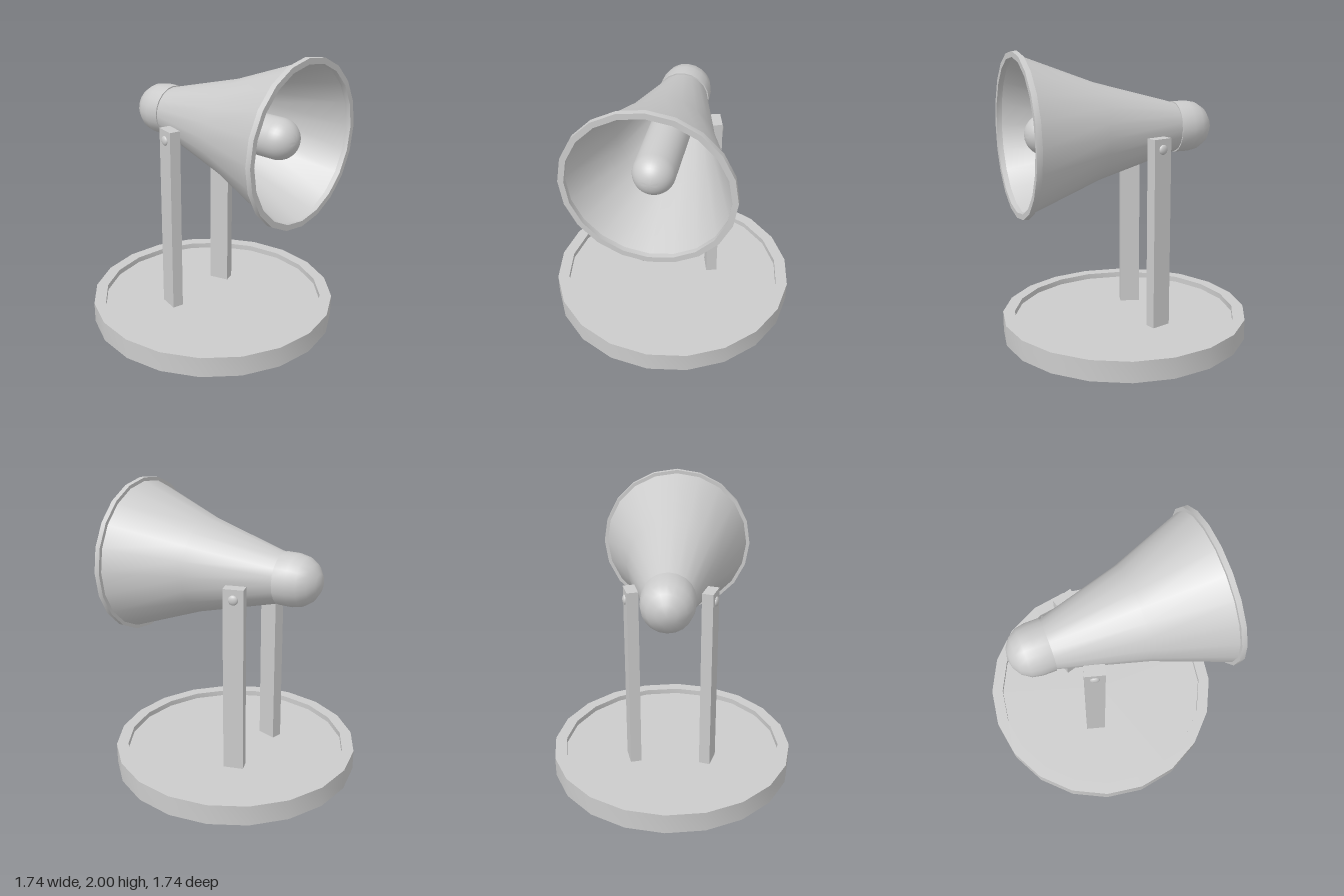
import * as THREE from 'three';
import { toCreasedNormals } from 'three/addons/utils/BufferGeometryUtils.js';

const material = new THREE.MeshStandardMaterial({ color: 0xcccccc, side: THREE.DoubleSide });
const AXIS_Y = 1.453;

function part(name, geometry) {
  const mesh = new THREE.Mesh(geometry, material);
  mesh.name = name;
  return mesh;
}

// Turned part: profile of [radius, height], running bottom to top
function turned(profile, segments = 20) {
  const points = profile.map(([r, h]) => new THREE.Vector2(r, h));
  return toCreasedNormals(new THREE.LatheGeometry(points, segments), 0.6);
}

// Turned part lying along z on the horn's axis
function alongZ(name, profile, segments) {
  const mesh = part(name, turned(profile, segments).rotateX(Math.PI / 2));
  mesh.position.y = AXIS_Y;
  return mesh;
}

// Quarter-circle profile points; dir -1 starts at the tip, +1 ends at it
function dome(radius, centre, steps, dir) {
  const points = [];
  for (let i = 0; i <= steps; i++) {
    const a = (i / steps) * Math.PI / 2;
    points.push([i === steps ? 0 : radius * Math.cos(a), centre + dir * radius * Math.sin(a)]);
  }
  return dir < 0 ? points.reverse() : points;
}

export function createModel() {
  const model = new THREE.Group();
  model.name = 'hornSpeaker';

  // Hollow base with a raised rim and an open underside
  model.add(part('base', turned([
    [0.868, 0], [0.868, 0.145], [0.785, 0.145], [0.785, 0.105], [0, 0.105],
  ])));

  // Flared horn, its front ring, the rear cap and the inner bulb
  const horn = new THREE.Group();
  horn.name = 'horn';
  horn.add(
    alongZ('flare', [[0.168, -0.37], [0.33, 0.22], [0.525, 0.735]]),
    alongZ('frontRing', [[0.51, 0.73], [0.548, 0.73], [0.548, 0.766], [0.51, 0.766], [0.51, 0.73]]),
    alongZ('rearCap', [...dome(0.178, -0.46, 4, -1), [0.178, -0.365], [0.155, -0.365]]),
    alongZ('innerBulb', [[0.137, -0.37], ...dome(0.137, 0.56, 10, 1)], 32),
  );
  model.add(horn);

  // Two posts turned to follow the horn's taper, each with a domed bolt
  const height = 1.32;
  for (const side of [1, -1]) {
    const support = new THREE.Group();
    support.name = side > 0 ? 'leftSupport' : 'rightSupport';
    support.position.set(side * 0.265, 0, -0.148);
    support.rotation.y = side * 0.28;

    const post = part('post', new THREE.BoxGeometry(0.078, height, 0.14));
    post.position.y = 0.105 + height / 2;

    const bolt = part('bolt', new THREE.SphereGeometry(0.034, 16, 10));
    bolt.scale.x = 0.5;
    bolt.position.set(side * 0.039, 1.353, 0);

    support.add(post, bolt);
    model.add(support);
  }
  return model;
}
